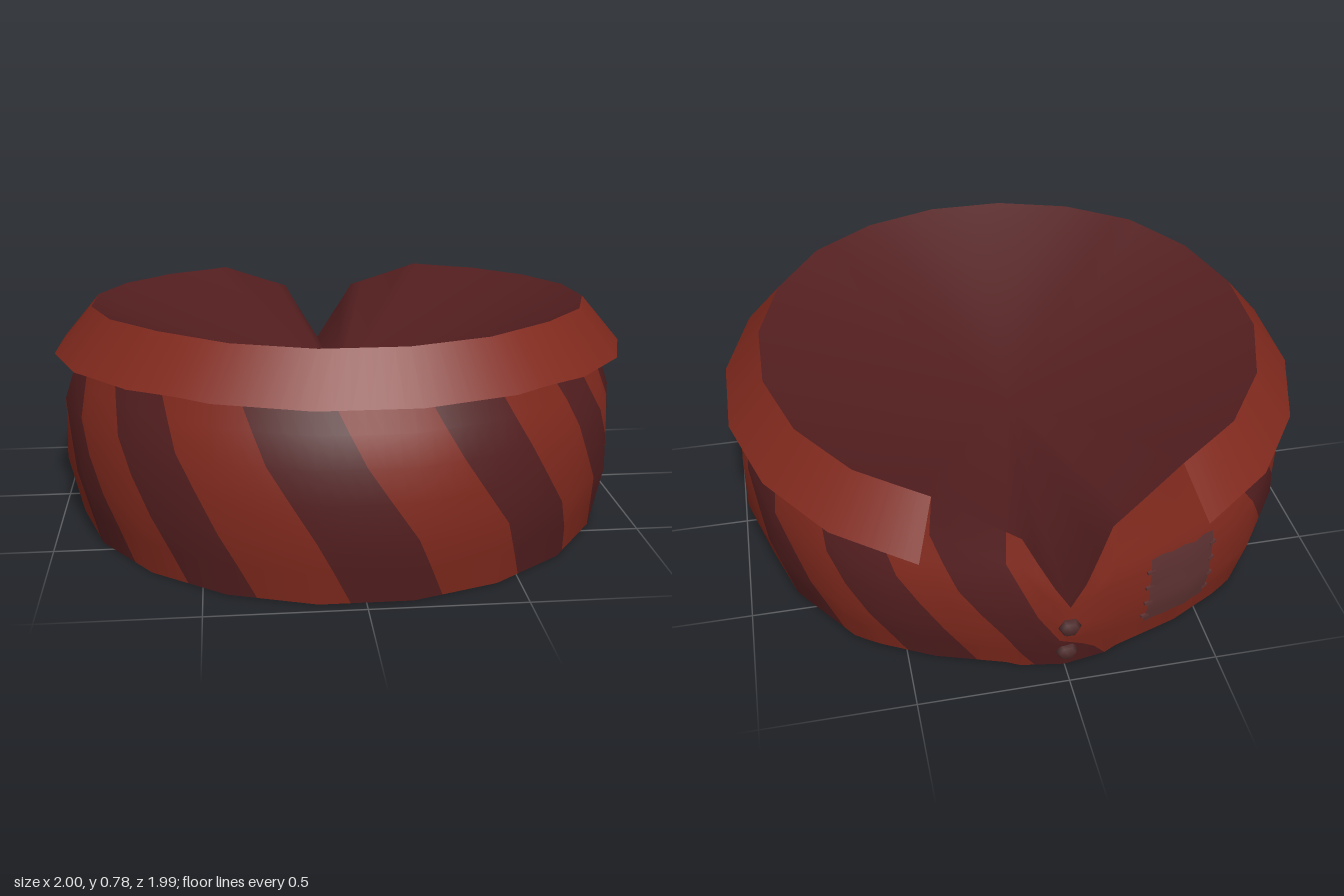
import * as THREE from 'three';

const mat = (name, color, side = THREE.FrontSide) => {
  const m = new THREE.MeshStandardMaterial({ color, side });
  m.name = name;
  return m;
};
const DEG = Math.PI / 180;

// Piecewise linear lookup in [key, value] pairs
function lookup(table, t) {
  for (let i = 1; i < table.length; i++) {
    const [a, va] = table[i - 1], [b, vb] = table[i];
    if (t <= b) return va + (vb - va) * Math.max(0, (t - a) / (b - a));
  }
  return table[table.length - 1][1];
}

// Twenty-sided ring: factor that pulls a circle onto its polygon (corners at 9 + 18k degrees)
const facet = (deg) => Math.cos(9 * DEG) / Math.cos(((((deg - 9) % 18) + 18) % 18 - 9) * DEG);

// Point on a ring at an angle measured from the front; the foot is slightly longer in z
function ringPoint(deg, r, y, faceted) {
  const k = faceted ? r * facet(deg) : r * 0.994;
  return [k * Math.sin(deg * DEG), y, k * Math.cos(deg * DEG) * (1.014 - 0.02 * y) + 0.014 - 0.033 * y];
}

// Grid surface: smooth normals come from the round form, positions from the faceted one
function grid(rows, cols, wrap, fn, materialOf) {
  const n = wrap ? cols : cols + 1;
  const sample = (faceted) => {
    const out = [];
    for (let i = 0; i < rows; i++) for (let j = 0; j < n; j++) out.push(...fn(i, j, faceted));
    return new THREE.Float32BufferAttribute(out, 3);
  };
  const geo = new THREE.BufferGeometry();
  const index = [];
  for (let j = 0; j < cols; j++) {
    const start = index.length;
    for (let i = 0; i < rows - 1; i++) {
      const a = i * n + j, b = i * n + ((j + 1) % n), c = b + n, d = a + n;
      index.push(a, b, c, a, c, d);
    }
    if (materialOf) geo.addGroup(start, index.length - start, materialOf(j));
  }
  geo.setIndex(index);
  geo.setAttribute('position', sample(false));
  geo.computeVertexNormals();
  geo.setAttribute('position', sample(true));
  return geo;
}

// Angle away from the back centre
const fromBack = (deg) => Math.abs(180 - (((deg % 360) + 360) % 360));

// Top plane: level at the front, sloping down to the back
const slopeTop = (deg) => Math.min(0.783, 0.736 + 0.0665 * Math.cos(deg * DEG));

// Height of the upper lip, with the V-shaped notch at the back
const NOTCH = [[0, 0.31], [9, 0.565], [27, slopeTop(153)]];
const lipHeight = (deg) =>
  fromBack(deg) < 27 ? lookup(NOTCH, fromBack(deg)) : slopeTop(deg);

// Bulging side profile: height -> radius, with the bulge pinched to a point at the back
const PROFILE = [[0, 0.94], [0.22, 0.988], [0.44, 0.985], [0.63, 0.925], [0.785, 0.877]];
const PINCH = [[0, 0], [12, 0.033], [27, 0.033], [40, 0]];
const radiusAt = (deg, y) => lookup(PROFILE, (y * 0.785) / slopeTop(deg))
  * (1 - lookup(PINCH, fromBack(deg)) * (1 - Math.pow(y / lipHeight(deg), 3)));

// Angles at which the stripes change colour along the lip
const STRIPES = [-24, -6, 12, 27, 42, 54, 66, 81, 96, 111, 126, 141,
  153, 168, 219, 231, 243, 258, 273, 288, 303, 318];

export function createModel() {
  const red = mat('brick red', 0x80291d);
  const redOpen = mat('rim red', 0x80291d, THREE.DoubleSide);
  const maroon = mat('dark maroon', 0x531e1f);
  const patchCloth = mat('patch brown', 0x5e3232, THREE.DoubleSide);
  const stud = mat('stud brown', 0x4f2b2b);

  const model = new THREE.Group();
  const add = (name, geo, material, parent = model) => {
    const mesh = new THREE.Mesh(geo, material);
    mesh.name = name;
    parent.add(mesh);
    return mesh;
  };

  // Striped body: columns lean around as they go down
  const levels = [0, 0.14, 0.28, 0.43, 0.57, 0.69, 0.81, 0.91, 1];
  const twist = [[0, 21], [0.28, 15], [0.57, 6], [0.81, 0], [1, 0]];
  add('stripedBody', grid(levels.length, 120, true, (i, j, f) => {
    const deg = -24 + j * 3 + lookup(twist, levels[i]);
    const y = levels[i] * lipHeight(deg);
    return ringPoint(deg, radiusAt(deg, y), y, f);
  }, (j) => STRIPES.filter((edge) => edge <= -24 + j * 3).length % 2), [red, maroon]);

  // Sunken top: a shallow cone, split along the back so the valley stays sharp
  const top = grid(2, 120, false, (i, j, f) => {
    const deg = -180 + j * 3, lip = lipHeight(deg);
    return i ? [0, 0.41, 0] : ringPoint(deg, radiusAt(deg, lip), lip, f);
  });
  for (let j = 0; j <= 120; j++) top.attributes.normal.setXYZ(121 + j, 0, 1, 0);
  add('sunkenTop', top, maroon);

  // Flat underside
  add('base', grid(2, 120, false, (i, j, f) =>
    (i ? ringPoint(j * 3, radiusAt(j * 3, 0), 0, f) : [0, 0, 0.014])), maroon);

  // Flared rim, open at the back
  add('rim', grid(2, 102, false, (i, j, f) => {
    const deg = -153 + j * 3, y = slopeTop(deg);
    return i ? ringPoint(deg, radiusAt(deg, y), y, f)
      : ringPoint(deg, 1.011, Math.min(0.636, 0.578 + 0.07 * Math.cos(deg * DEG)), f);
  }), redOpen);

  // Cloth patch beside the notch, following the body
  const onBody = (deg, y, lift) => ringPoint(deg, radiusAt(deg, y) + lift, y, true);
  add('patch', grid(7, 6, false, (i, j) =>
    onBody(197 + j * 2.55, 0.1 + i * 0.05 + 0.006 * (j % 2), 0.008)), patchCloth);

  // Short stitches along both sides of the patch
  const stitches = new THREE.Group();
  stitches.name = 'patchStitches';
  model.add(stitches);
  for (const deg of [197, 212.3]) {
    for (let k = 0; k < 4; k++) {
      const stitch = add('stitch', new THREE.BoxGeometry(0.028, 0.01, 0.009), patchCloth, stitches);
      stitch.position.set(...onBody(deg, 0.14 + k * 0.07, 0.006));
      stitch.rotation.y = deg * DEG;
    }
  }

  // Two studs under the notch
  for (const y of [0.09, 0.225]) {
    const s = add('stud', new THREE.SphereGeometry(0.038, 6, 4).rotateX(Math.PI / 2), stud);
    s.position.set(0, ...onBody(180, y, 0).slice(1));
    s.scale.z = 0.6;
  }
  return model;
}
